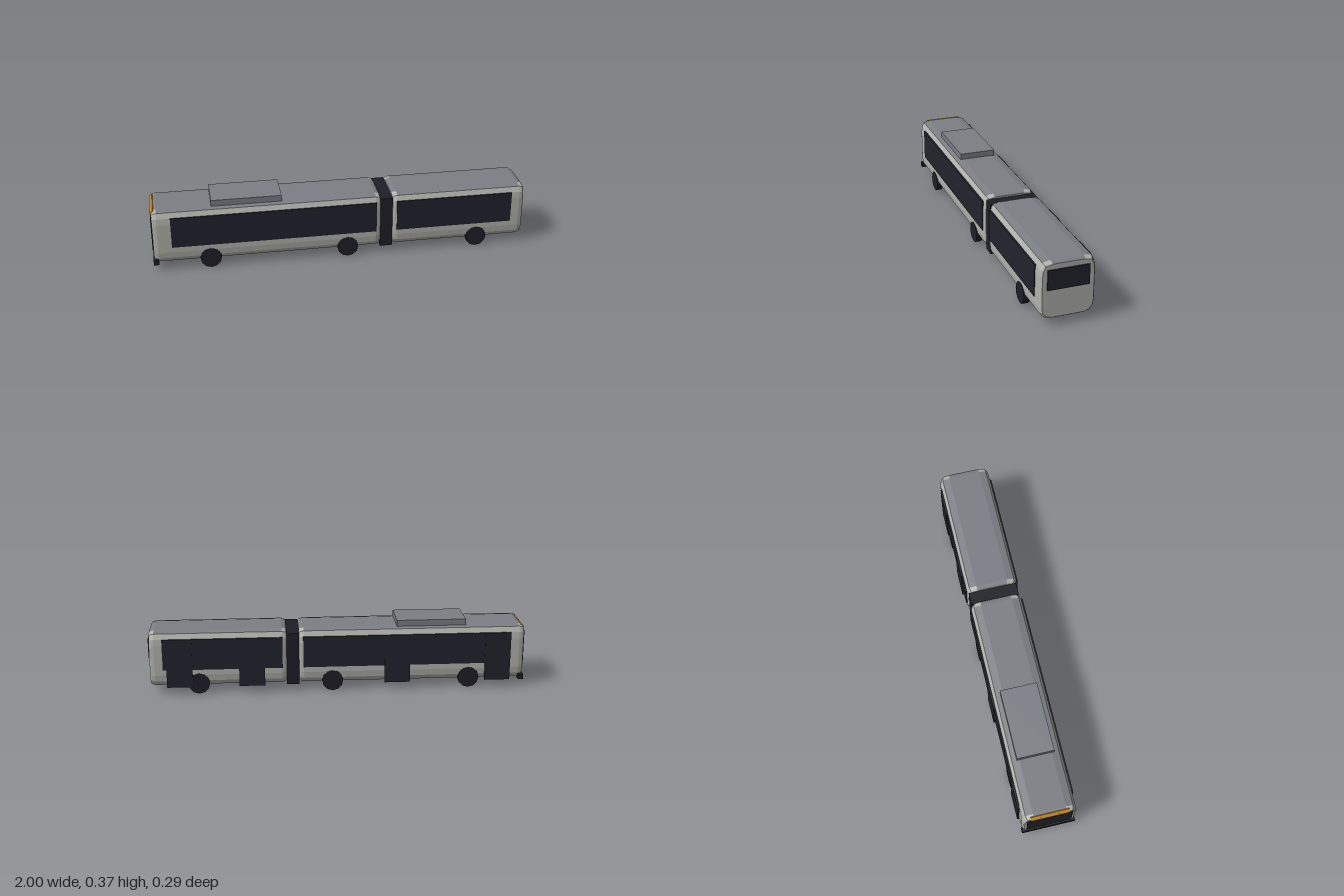
import * as THREE from 'three';

const mat = (name, color, extra = {}) => {
  const m = new THREE.MeshStandardMaterial({ color, ...extra });
  m.name = name;
  return m;
};

// Half outline of the body, from roof centre edge down to floor edge: [z, y]
const HALF = [
  [0.085, 0.338], [0.123, 0.33], [0.136, 0.302], [0.14, 0.268],
  [0.14, 0.105], [0.136, 0.072], [0.118, 0.046], [0.085, 0.037],
];
const ZC = 0.003, YC = 0.1875;

// Body shell lofted along x, with bevelled ends; group 0 = sides, group 1 = roof
function shellGeometry(x0, x1) {
  const loop = [...HALF, ...HALF.map(([z, y]) => [-z, y]).reverse()];
  const n = loop.length;
  const stations = [
    [x0, 0.93], [x0 + 0.008, 0.97], [x0 + 0.025, 1],
    [x1 - 0.025, 1], [x1 - 0.008, 0.97], [x1, 0.93],
  ];
  const rings = stations.map(([x, s]) =>
    loop.map(([z, y]) => [x, YC + (y - YC) * s, ZC + z * s]));
  const side = [], roof = [];
  for (let r = 0; r < rings.length - 1; r++) {
    for (let i = 0; i < n; i++) {
      const j = (i + 1) % n;
      const a = rings[r][i], b = rings[r][j], c = rings[r + 1][j], d = rings[r + 1][i];
      const flatTop = i === n - 1;
      const slope = (i === 0 || i === n - 2) && r === 2;
      (flatTop || slope ? roof : side).push(a, b, c, a, c, d);
    }
  }
  // End caps
  const first = rings[0], last = rings[rings.length - 1];
  for (let i = 1; i < n - 1; i++) {
    side.push(first[0], first[i + 1], first[i]);
    side.push(last[0], last[i], last[i + 1]);
  }
  const g = new THREE.BufferGeometry();
  g.setAttribute('position', new THREE.Float32BufferAttribute([...side, ...roof].flat(), 3));
  g.addGroup(0, side.length, 0);
  g.addGroup(side.length, roof.length, 1);
  g.computeVertexNormals();
  return g;
}

export function createModel() {
  const bus = new THREE.Group();
  bus.name = 'articulatedBus';

  const paint = mat('bodyGrey', 0xb2b3ac);
  const roofGrey = mat('roofGrey', 0x7b7e84);
  const glass = mat('darkGlass', 0x22222d);
  const rubber = mat('rubber', 0x1e1e27);
  const amber = mat('signAmber', 0xd08a14);

  const add = (name, geo, m) => {
    const mesh = new THREE.Mesh(geo, m);
    mesh.name = name;
    bus.add(mesh);
    return mesh;
  };
  // Box given by its minimum and maximum on each axis
  const box = (name, m, [xa, xb], [ya, yb], [za, zb]) =>
    add(name, new THREE.BoxGeometry(xb - xa, yb - ya, zb - za), m)
      .position.set((xa + xb) / 2, (ya + yb) / 2, (za + zb) / 2);

  // Two body sections
  add('frontSection', shellGeometry(-0.995, 0.207), [paint, roofGrey]);
  add('rearSection', shellGeometry(0.273, 0.993), [paint, roofGrey]);

  // Bellows: two walls and a roof, open underneath
  const gap = [0.207, 0.273];
  box('bellowsLeftWall', rubber, gap, [0.037, 0.319], [0.112, 0.132]);
  box('bellowsRightWall', rubber, gap, [0.037, 0.319], [-0.129, -0.109]);
  box('bellowsRoof', rubber, gap, [0.3, 0.319], [-0.109, 0.112]);

  // Side windows
  for (const [xa, xb] of [[-0.9, 0.185], [0.295, 0.925]]) {
    box('leftWindow', glass, [xa, xb], [0.135, 0.303], [0.139, 0.147]);
    box('rightWindow', glass, [xa, xb], [0.135, 0.303], [-0.143, -0.135]);
  }

  // Doors on the right side
  for (const x of [-0.855, -0.315, 0.457, 0.838]) {
    box('door', glass, [x - 0.068, x + 0.068], [0.04, 0.303], [-0.147, -0.138]);
  }

  // Windscreen, rear window, bumper
  box('windscreen', glass, [-1, -0.992], [0.11, 0.303], [-0.115, 0.121]);
  box('rearWindow', glass, [0.99, 0.999], [0.195, 0.3], [-0.103, 0.109]);
  box('frontBumper', rubber, [-1, -0.972], [0.037, 0.065], [-0.139, 0.145]);

  // Destination sign on the front roof bevel
  const sign = add('destinationSign', new THREE.BoxGeometry(0.006, 0.024, 0.2), amber);
  sign.position.set(-0.991, 0.327, ZC);
  sign.rotation.z = -0.7;

  // Roof unit
  box('roofUnit', roofGrey, [-0.685, -0.315], [0.336, 0.369], [-0.095, 0.101]);

  // Wheels
  const wheelGeo = new THREE.CylinderGeometry(0.056, 0.056, 0.033, 12).toNonIndexed();
  wheelGeo.rotateX(Math.PI / 2);
  wheelGeo.computeVertexNormals();
  for (const x of [-0.7, 0.03, 0.737]) {
    for (const z of [0.1285, -0.1235]) add('wheel', wheelGeo, rubber).position.set(x, 0.056, z);
  }

  return bus;
}
